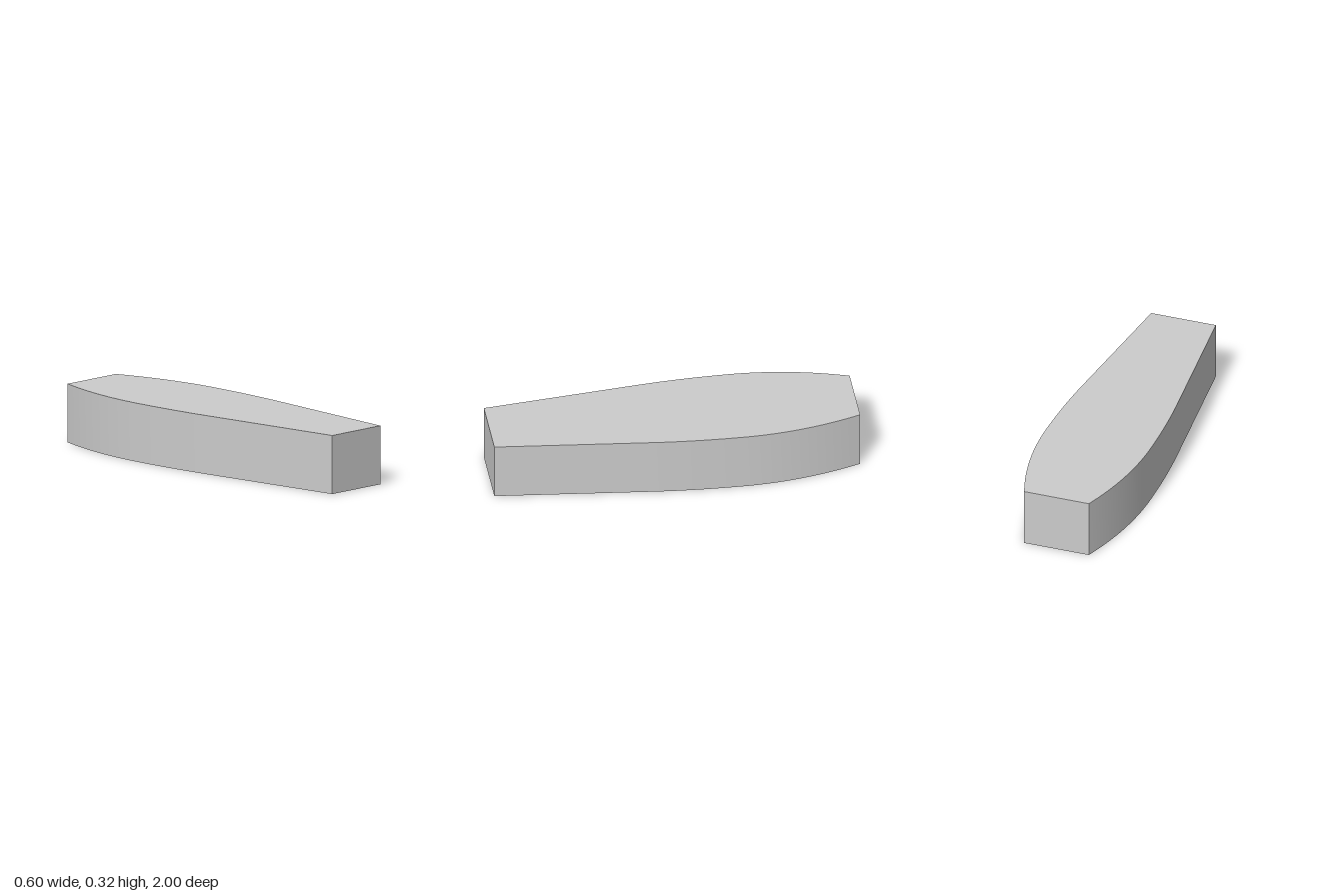
import * as THREE from 'three';
import { toCreasedNormals } from 'three/addons/utils/BufferGeometryUtils.js';

const HEIGHT = 0.323;
const END = 0.186; // half width at both ends
const MAX = 0.3;   // half width at the widest point

export function createModel() {
  const group = new THREE.Group();
  group.name = 'taperedBlock';

  // Plan outline: straight taper at the front, bulging curve towards the back
  const outline = new THREE.Shape();
  outline.moveTo(END, -1);
  outline.lineTo(0.275, -0.15);
  outline.quadraticCurveTo(MAX, 0.09, MAX, 0.35);
  outline.quadraticCurveTo(MAX, 0.68, END, 1);
  outline.lineTo(-END, 1);
  outline.quadraticCurveTo(-MAX, 0.68, -MAX, 0.35);
  outline.quadraticCurveTo(-MAX, 0.09, -0.275, -0.15);
  outline.lineTo(-END, -1);
  outline.closePath();

  // Raise the outline into a solid and lay it flat, smooth along the sides
  const solid = new THREE.ExtrudeGeometry(outline, {
    depth: HEIGHT, bevelEnabled: false, curveSegments: 16,
  });
  solid.rotateX(-Math.PI / 2);

  const body = new THREE.Mesh(
    toCreasedNormals(solid, Math.PI / 6),
    new THREE.MeshStandardMaterial({ color: 0xcccccc }),
  );
  body.name = 'body';
  group.add(body);
  return group;
}
